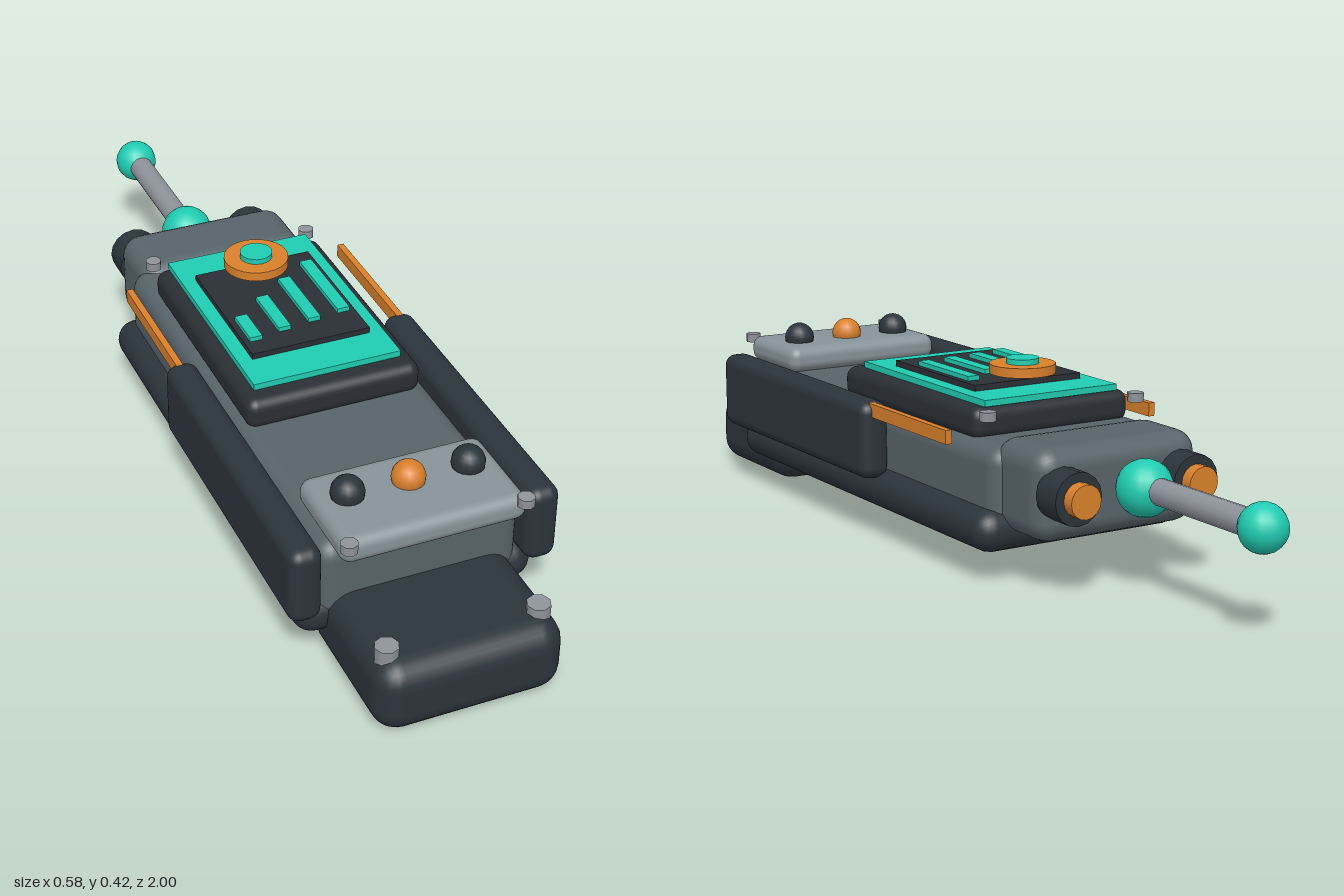
import * as THREE from 'three';
import { RoundedBoxGeometry } from 'three/addons/geometries/RoundedBoxGeometry.js';

const paint = (name, color) => {
  const m = new THREE.MeshStandardMaterial({ color });
  m.name = name;
  return m;
};

export function createModel() {
  const model = new THREE.Group();
  model.name = 'handheldScanner';

  const rubber = paint('dark rubber', 0x2b343c);
  const casing = paint('casing grey', 0x57646a);
  const panel = paint('panel grey', 0x87939a);
  const metal = paint('metal grey', 0x8f949b);
  const screenDark = paint('screen dark', 0x2a2f35);
  const orange = paint('orange', 0xd9802b);
  const teal = paint('teal', 0x20ccb2);

  const add = (name, geometry, material, x = 0, y = 0, z = 0) => {
    const mesh = new THREE.Mesh(geometry, material);
    mesh.name = name;
    mesh.position.set(x, y, z);
    model.add(mesh);
    return mesh;
  };
  // Boxes are given by their ranges in x, y and z
  const span = (Geo, extra) => (name, material, [x0, x1], [y0, y1], [z0, z1], ...r) =>
    add(name, new Geo(x1 - x0, y1 - y0, z1 - z0, ...extra(r)), material,
      (x0 + x1) / 2, (y0 + y1) / 2, (z0 + z1) / 2);
  const rounded = span(RoundedBoxGeometry, ([radius]) => [3, radius]);
  const box = span(THREE.BoxGeometry, () => []);
  // Upright cylinder between two heights
  const disc = (name, material, r, x, y0, y1, z, sides = 20) =>
    add(name, new THREE.CylinderGeometry(r, r, y1 - y0, sides), material, x, (y0 + y1) / 2, z);
  // Cylinder along z
  const rod = (name, material, r, x, y, z0, z1, sides = 16) => {
    const mesh = add(name, new THREE.CylinderGeometry(r, r, z1 - z0, sides), material, x, y, (z0 + z1) / 2);
    mesh.rotation.x = Math.PI / 2;
    return mesh;
  };
  const ball = (name, material, r, x, y, z) => {
    const geometry = new THREE.SphereGeometry(r, 16, 12);
    return add(name, geometry, material, x, y, z);
  };

  // Main shell
  rounded('casing', casing, [-0.22, 0.22], [0.1, 0.285], [-0.365, 0.745], 0.04);
  rounded('basePlate', rubber, [-0.26, 0.26], [0.065, 0.155], [-0.378, 0.745], 0.044);
  rounded('frontGrip', rubber, [-0.2, 0.2], [0, 0.165], [0.645, 1], 0.055);
  rounded('rearNeck', casing, [-0.2, 0.2], [0.107, 0.303], [-0.5, -0.31], 0.045);

  // Screen stack
  rounded('screenBezel', screenDark, [-0.197, 0.197], [0.275, 0.346], [-0.25, 0.325], 0.025);
  box('screenFrame', teal, [-0.167, 0.167], [0.346, 0.36], [-0.24, 0.278]);
  box('screen', screenDark, [-0.135, 0.135], [0.36, 0.373], [-0.148, 0.19]);
  [[-0.108, 0.055, 0.145], [-0.037, 0, 0.132], [0.036, -0.052, 0.122], [0.108, -0.1, 0.112]]
    .forEach(([x, z0, z1], i) =>
      box('signalBar' + (i + 1), teal, [x - 0.014, x + 0.014], [0.373, 0.383], [z0, z1]));

  // Dial above the screen
  disc('dial', orange, 0.072, 0, 0.384, 0.405, -0.125, 24);
  disc('dialCap', teal, 0.036, 0, 0.405, 0.417, -0.125, 20);

  // Button panel
  rounded('buttonPanel', panel, [-0.198, 0.198], [0.283, 0.343], [0.578, 0.808], 0.025);
  ball('centreButton', orange, 0.035, 0, 0.353, 0.672);

  for (const side of [1, -1]) {
    const label = side > 0 ? 'left' : 'right';
    const mirror = (a, b) => (side > 0 ? [a, b] : [-b, -a]);
    ball(label + 'Button', rubber, 0.035, side * 0.13, 0.353, 0.672);

    // Side rail and accent strip
    rounded(label + 'Rail', rubber, mirror(0.22, 0.29), [0.138, 0.311], [0.065, 0.775], 0.026);
    box(label + 'AccentStrip', orange, mirror(0.251, 0.266), [0.279, 0.309], [-0.245, 0.085]);

    // Screws
    disc(label + 'FrontScrew', metal, 0.018, side * 0.187, 0.327, 0.347, 0.81, 8);
    disc(label + 'RearScrew', metal, 0.018, side * 0.187, 0.327, 0.347, -0.283, 8);
    disc(label + 'GripScrew', metal, 0.025, side * 0.161, 0.14, 0.184, 0.932, 8);

    // Rear knobs
    rod(label + 'RearKnob', rubber, 0.056, side * 0.145, 0.213, -0.555, -0.485);
    rod(label + 'RearKnobCap', orange, 0.036, side * 0.145, 0.213, -0.582, -0.55);
  }

  // Antenna
  ball('antennaJoint', teal, 0.06, 0, 0.222, -0.577);
  rod('antennaRod', metal, 0.028, 0, 0.225, -0.92, -0.58, 14);
  ball('antennaTip', teal, 0.05, 0, 0.225, -0.95);

  return model;
}
